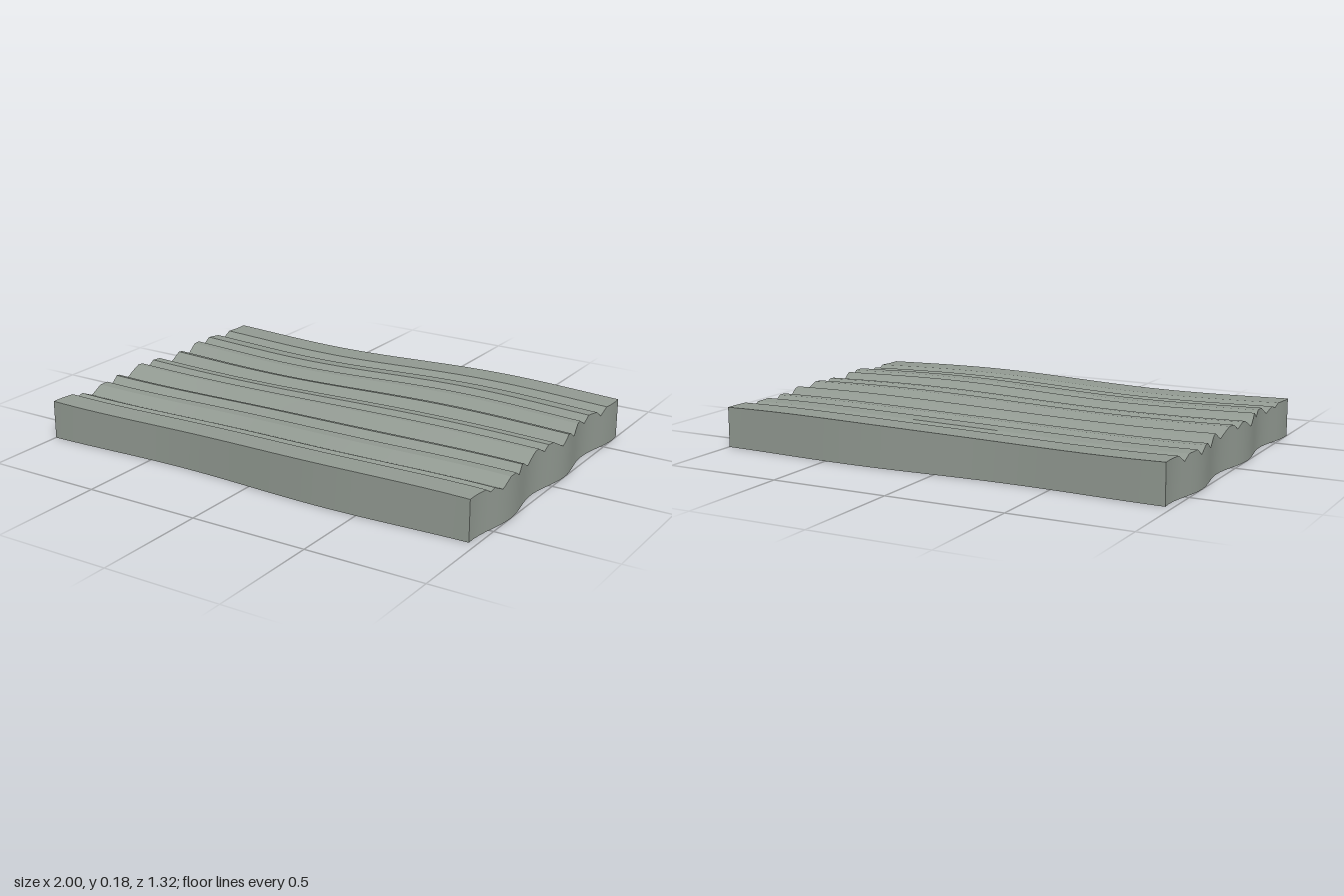
import * as THREE from 'three';
import { toCreasedNormals } from 'three/addons/utils/BufferGeometryUtils.js';

// Ridge profile from back to front: [z, height]
const PROFILE = [
  [-0.647, 0.177], [-0.535, 0.177], [-0.495, 0.148], [-0.465, 0.172], [-0.405, 0.176],
  [-0.37, 0.15], [-0.325, 0.176], [-0.29, 0.176], [-0.228, 0.143], [-0.17, 0.176],
  [-0.145, 0.181], [-0.09, 0.148], [-0.02, 0.184], [0.014, 0.184], [0.04, 0.162],
  [0.077, 0.184], [0.1, 0.184], [0.175, 0.146], [0.24, 0.18], [0.26, 0.184],
  [0.303, 0.158], [0.338, 0.18], [0.384, 0.181], [0.437, 0.148], [0.486, 0.17],
  [0.51, 0.16], [0.535, 0.177], [0.645, 0.177],
];
const STEPS = 3; // subdivisions of each profile span

function sampleProfile(t) {
  const i = Math.min(Math.floor(t), PROFILE.length - 2);
  const f = t - i;
  return PROFILE[i].map((v, k) => THREE.MathUtils.lerp(v, PROFILE[i + 1][k], f));
}

export function createModel() {
  const group = new THREE.Group();
  group.name = 'ridgedSlab';

  // A subdivided block whose top follows the profile and whose sides undulate
  const spans = PROFILE.length - 1;
  const geometry = new THREE.BoxGeometry(2, 1, 1, 56, 1, spans * STEPS);
  const pos = geometry.attributes.position;
  for (let i = 0; i < pos.count; i++) {
    const u = pos.getX(i);
    const t = Math.round((pos.getZ(i) + 0.5) * spans * STEPS) / STEPS;
    const [z, h] = sampleProfile(t);

    // Grain widens and narrows along x; ends sway along z; top swells along x
    const pinch = 0.012 * Math.cos(4.49 * (u + 0.33)) * THREE.MathUtils.clamp(z / 0.3, -1, 1);
    const sway = 0.016 * Math.cos((2 * Math.PI * (z - 0.13)) / 0.49);
    const swell = 0.01 * (Math.sin((Math.PI * u) / 1.1) - 1);
    const y = pos.getY(i) > 0 ? h + swell : 0;
    pos.setXYZ(i, u * 0.984 - sway, y, z - pinch);
  }

  const slab = new THREE.Mesh(
    toCreasedNormals(geometry, THREE.MathUtils.degToRad(20)),
    new THREE.MeshStandardMaterial({ color: 0x929a92 })
  );
  slab.name = 'slab';
  group.add(slab);
  return group;
}
